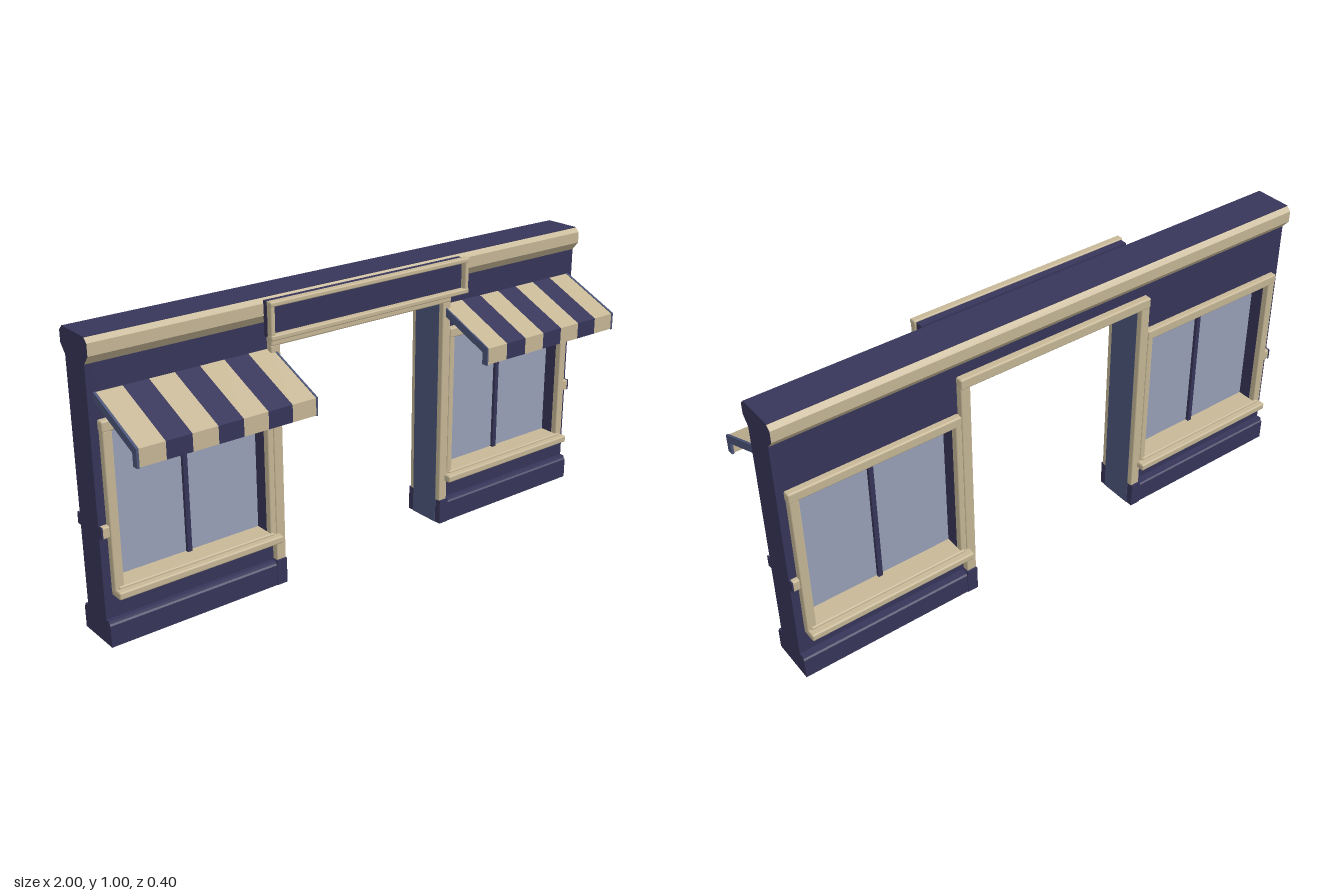
import * as THREE from 'three';
import { RoundedBoxGeometry } from 'three/addons/geometries/RoundedBoxGeometry.js';

const mat = (name, color) => {
  const m = new THREE.MeshStandardMaterial({ color });
  m.name = name;
  return m;
};

export function createModel() {
  const navy = mat('navy paint', 0x37355a);
  const tan = mat('tan trim', 0xc6b796);
  const slate = mat('slate blue', 0x4c567a);
  const glass = mat('window glass', 0x9aa1b8);

  const model = new THREE.Group();
  model.name = 'shopfront';
  const MID = -0.0875; // centre plane of the wall

  const add = (parent, name, geo, material) => {
    const m = new THREE.Mesh(geo, material);
    m.name = name;
    parent.add(m);
    return m;
  };
  // box from its limits, optionally with softened edges
  const box = (parent, name, material, x0, x1, y0, y1, z0, z1, r = 0) => {
    const s = [x1 - x0, y1 - y0, z1 - z0];
    const geo = r ? new RoundedBoxGeometry(...s, 2, r) : new THREE.BoxGeometry(...s);
    geo.translate((x0 + x1) / 2, (y0 + y1) / 2, (z0 + z1) / 2);
    return add(parent, name, geo, material);
  };
  // (z, y) profile swept along x
  const sweepX = (parent, name, profile, x0, x1, material) => {
    const shape = new THREE.Shape(profile.map(([z, y]) => new THREE.Vector2(-z, y)));
    const geo = new THREE.ExtrudeGeometry(shape, { depth: x1 - x0, bevelEnabled: false });
    geo.rotateY(Math.PI / 2).translate(x0, 0, 0);
    return add(parent, name, geo, material);
  };
  // completes a front half profile with its mirror image at the back
  const bothSides = (half) => [...half, ...half.map(([z, y]) => [2 * MID - z, y]).reverse()];
  const rect = (path, x0, x1, y0, y1) =>
    path.moveTo(x0, y0).lineTo(x0, y1).lineTo(x1, y1).lineTo(x1, y0).closePath();

  // wall with doorway and two window openings
  const wall = new THREE.Shape();
  wall.moveTo(-1, 0).lineTo(-0.344, 0).lineTo(-0.344, 0.844).lineTo(0.344, 0.844)
    .lineTo(0.344, 0).lineTo(1, 0).lineTo(1, 0.99).lineTo(-1, 0.99).closePath();
  wall.holes.push(rect(new THREE.Path(), -0.94, -0.4, 0.175, 0.72));
  wall.holes.push(rect(new THREE.Path(), 0.4, 0.94, 0.175, 0.72));
  const wallGeo = new THREE.ExtrudeGeometry(wall, { depth: 0.115, bevelEnabled: false });
  wallGeo.translate(0, 0, -0.145);
  add(model, 'wall', wallGeo, navy);

  // cornice with navy ends and top
  const cornice = [[-0.03, 0.915], [-0.005, 0.945], [-0.005, 0.984], [-0.02, 0.998]];
  sweepX(model, 'cornice', bothSides(cornice), -1, 1, [navy, tan]);
  box(model, 'corniceTop', navy, -1, 1, 0.994, 1, -0.154, -0.021);

  // doorway head
  box(model, 'doorLiningTop', slate, -0.344, 0.344, 0.839, 0.844, -0.148, -0.027);

  // sign board and frame
  const sign = new THREE.Group();
  sign.name = 'signBoard';
  model.add(sign);
  box(sign, 'signPanel', navy, -0.402, 0.402, 0.88, 0.995, -0.006, 0.022);
  for (const [y0, y1] of [[0.875, 0.893], [0.983, 1]]) {
    box(sign, 'signRail', tan, -0.41, 0.41, y0, y1, 0.02, 0.045, 0.005);
  }
  for (const s of [-1, 1]) {
    box(sign, 'signStile', tan, s * 0.4005 - 0.0085, s * 0.4005 + 0.0085, 0.88, 0.995, 0.02, 0.043, 0.005);
  }

  // trim repeated on the front and back faces
  const faces = [[-0.034, -0.008], [-0.167, -0.141]];
  for (const [z0, z1] of faces) {
    box(model, 'doorHead', tan, -0.377, 0.377, 0.838, 0.876, z0 - 0.003, z1 + 0.002, 0.006);
  }

  const baseProfile = [[-0.005, 0], [-0.005, 0.074], [-0.01, 0.079], [-0.013, 0.087], [-0.03, 0.087]];
  const awningProfile = [[-0.03, 0.826], [0.2, 0.727], [0.2, 0.67], [0.18, 0.67], [0.18, 0.712], [-0.03, 0.801]];
  const plateProfile = [[-0.03, 0.828], [0.201, 0.729], [0.201, 0.668], [0.178, 0.668], [0.178, 0.71], [-0.03, 0.799]];

  for (const s of [-1, 1]) {
    const side = new THREE.Group();
    side.name = s > 0 ? 'leftBay' : 'rightBay';
    model.add(side);
    // span given for the +x bay, mirrored for the other
    const bar = (name, m, x0, x1, ...rest) =>
      s > 0 ? box(side, name, m, x0, x1, ...rest) : box(side, name, m, -x1, -x0, ...rest);
    const sweep = (name, p, x0, x1, m) =>
      s > 0 ? sweepX(side, name, p, x0, x1, m) : sweepX(side, name, p, -x1, -x0, m);

    // plinth
    sweep('plinth', bothSides(baseProfile), 0.375, 1, navy);
    bar('doorPlinthBlock', navy, 0.341, 0.38, 0, 0.091, -0.173, -0.003);
    bar('doorLining', slate, 0.339, 0.345, 0, 0.84, -0.148, -0.027);

    // window
    bar('windowGlass', glass, 0.395, 0.945, 0.18, 0.715, MID - 0.008, MID + 0.008);
    bar('windowMullion', navy, 0.662, 0.678, 0.18, 0.715, MID - 0.02, MID + 0.02);
    bar('windowSill', tan, 0.365, 0.972, 0.163, 0.189, -0.195, 0.018, 0.006);
    bar('windowSillStep', tan, 0.385, 0.96, 0.182, 0.197, -0.172, -0.004, 0.005);
    bar('windowHeader', tan, 0.376, 0.975, 0.705, 0.741, -0.168, -0.007, 0.006);

    for (const [z0, z1] of faces) {
      bar('doorJamb', tan, 0.34, 0.377, 0.088, 0.842, z0, z1, 0.005);
      bar('windowStileInner', tan, 0.376, 0.4, 0.185, 0.71, z0, z1, 0.005);
      bar('windowStileOuter', tan, 0.94, 0.973, 0.185, 0.71, z0, z1, 0.005);
    }

    // short moulding from the window to the end of the wall
    bar('sideMoulding', tan, 0.968, 0.997, 0.366, 0.405, -0.162, -0.012, 0.005);
    bar('sideMouldingEnd', navy, 0.995, 1, 0.366, 0.405, -0.162, -0.012);

    // striped awning
    const w = (0.972 - 0.36) / 7;
    for (let i = 0; i < 7; i++) {
      sweep('awningStripe', awningProfile, 0.36 + i * w, 0.36 + (i + 1) * w, i % 2 ? navy : tan);
    }
    sweep('awningEnd', plateProfile, 0.354, 0.36, slate);
    sweep('awningEnd', plateProfile, 0.972, 0.98, slate);
  }
  return model;
}
